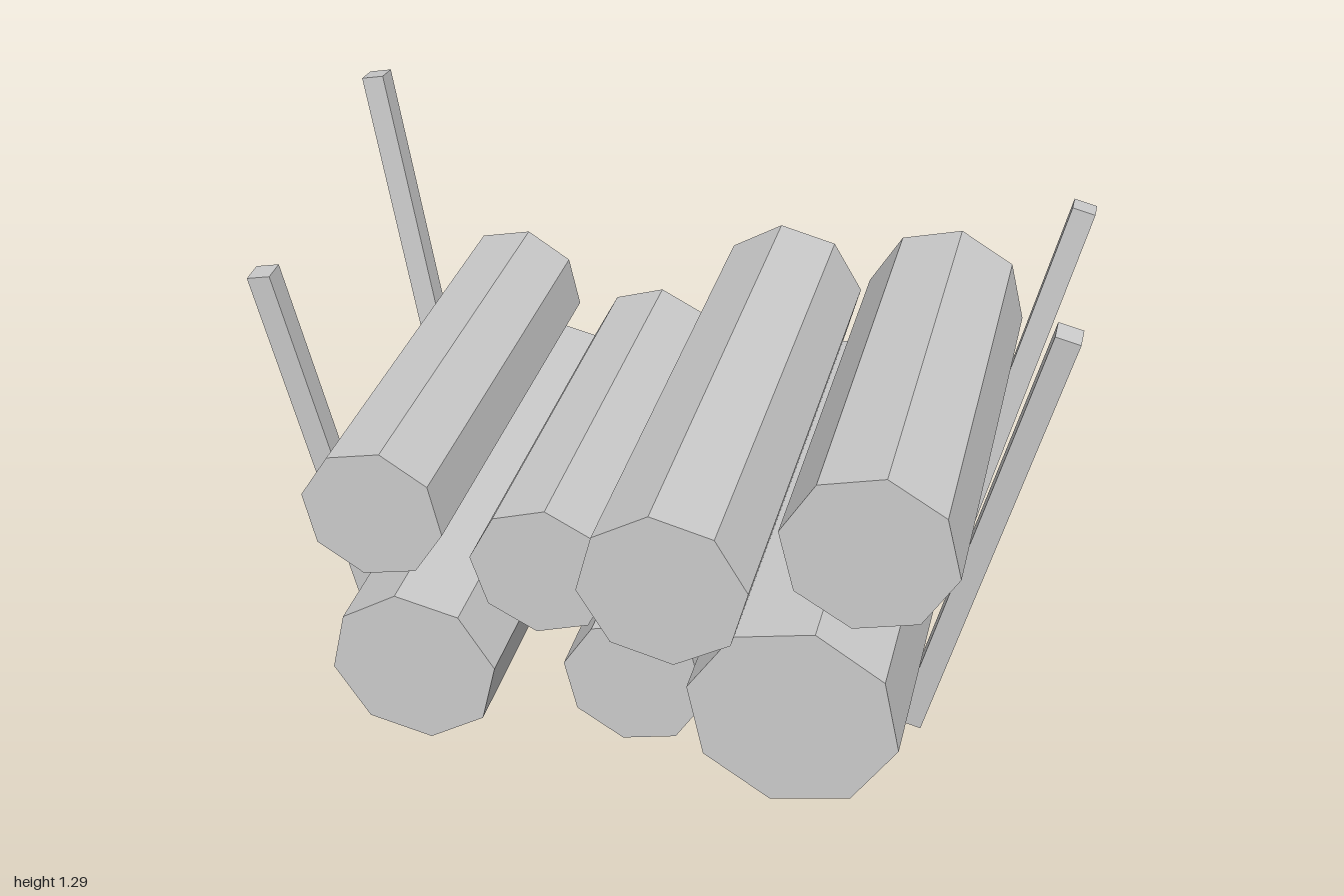
import * as THREE from 'three';

export function createModel() {
  const group = new THREE.Group();
  group.name = 'logPile';
  const material = new THREE.MeshStandardMaterial({ color: 0xcccccc, flatShading: true });

  // Octagonal log lying along z, rolled by a few degrees
  function addLog(name, x, y, radius, length, roll) {
    const geometry = new THREE.CylinderGeometry(radius, radius, length, 8);
    geometry.rotateX(Math.PI / 2).rotateZ(THREE.MathUtils.degToRad(roll));
    const log = new THREE.Mesh(geometry, material);
    log.name = name;
    log.position.set(x, y, 0);
    group.add(log);
  }

  // Square stake leaning from its foot to its tip
  function addStake(name, foot, tip) {
    const a = new THREE.Vector3(...foot);
    const b = new THREE.Vector3(...tip);
    const stake = new THREE.Mesh(new THREE.BoxGeometry(0.06, a.distanceTo(b), 0.06), material);
    stake.name = name;
    stake.position.copy(a).lerp(b, 0.5);
    stake.quaternion.setFromUnitVectors(new THREE.Vector3(0, 1, 0), b.sub(a).normalize());
    group.add(stake);
  }

  // Bottom row
  addLog('bottomRightLog', -0.519, 0.238, 0.213, 1.385, 9.3);
  addLog('bottomMiddleLog', 0.016, 0.219, 0.18, 1.2, -9.5);
  addLog('bottomLeftLog', 0.43, 0.275, 0.26, 1.42, -10.6);

  // Upper row
  addLog('topRightLog', -0.634, 0.61, 0.18, 1.2, -10.3);
  addLog('innerRightLog', -0.222, 0.489, 0.18, 1.14, -5);
  addLog('innerLeftLog', 0.123, 0.615, 0.206, 1.49, 8);
  addLog('topLeftLog', 0.58, 0.711, 0.214, 1.25, -8.5);

  // Stakes holding the pile
  addStake('frontLeftStake', [0.665, 0.01, 0.31], [0.965, 1.222, 0.41]);
  addStake('backLeftStake', [0.66, 0.01, -0.385], [0.935, 1.12, -0.44]);
  addStake('frontRightStake', [-0.72, 0.01, 0.33], [-0.953, 1.12, 0.38]);
  addStake('backRightStake', [-0.72, 0.01, -0.365], [-0.97, 1.28, -0.47]);

  return group;
}
